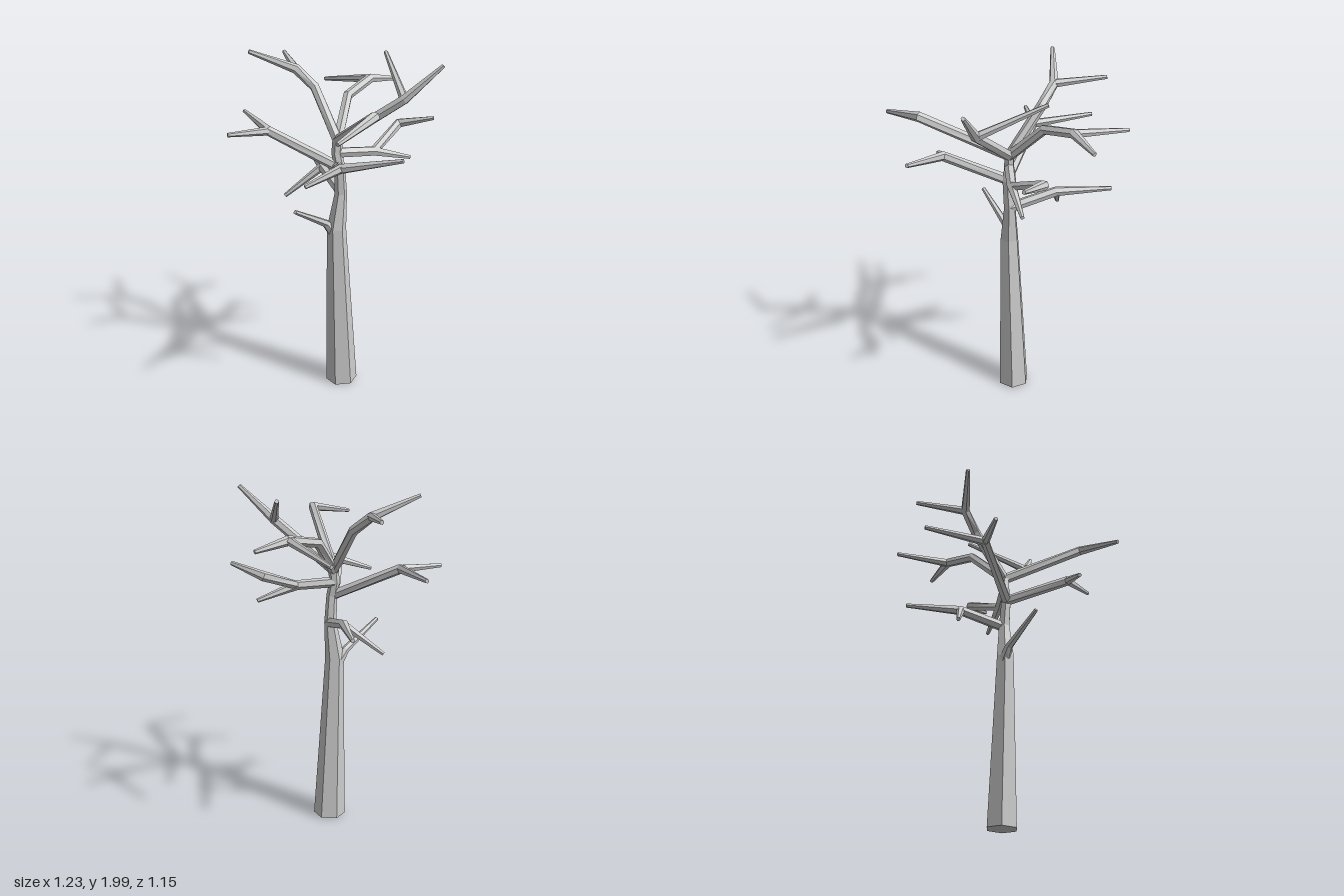
import * as THREE from 'three';

const material = new THREE.MeshStandardMaterial({ color: 0xcccccc, flatShading: true });
const SIDES = 6;
const UP = new THREE.Vector3(0, 1, 0);
const FRONT = new THREE.Vector3(0, 0, 1);

// Faceted limb swept through points with a radius at each, capped at both ends
function limb(name, points, radii, ref) {
  const centres = points.map(p => new THREE.Vector3(...p));
  const last = points.length - 1;
  const direction = i => centres[i + 1].clone().sub(centres[i]).normalize();
  const rings = centres.map((centre, i) => {
    const t = direction(Math.min(i, last - 1));
    if (i > 0 && i < last) t.add(direction(i - 1)).normalize(); // mitred joint
    const u = t.clone().cross(ref).normalize();
    const v = u.clone().cross(t);
    return Array.from({ length: SIDES }, (_, k) => {
      const a = 0.23 + (k / SIDES) * Math.PI * 2;
      return centre.clone()
        .addScaledVector(u, radii[i] * Math.cos(a))
        .addScaledVector(v, radii[i] * Math.sin(a));
    });
  });
  const corners = [];
  for (let k = 0; k < SIDES; k++) {
    const n = (k + 1) % SIDES;
    for (let i = 0; i < last; i++) {
      const a = rings[i][k], b = rings[i][n], c = rings[i + 1][n], d = rings[i + 1][k];
      corners.push(a, c, b, a, d, c);
    }
    corners.push(centres[0], rings[0][k], rings[0][n]);
    corners.push(centres[last], rings[last][n], rings[last][k]);
  }
  const geometry = new THREE.BufferGeometry().setFromPoints(corners);
  geometry.computeVertexNormals();
  const mesh = new THREE.Mesh(geometry, material);
  mesh.name = name;
  return mesh;
}

// Limb that keeps its thickness up to the last joint, then narrows to the tip
function taperedLimb(name, points, root) {
  const last = points.length - 1;
  const radii = points.map((_, i) => (i === last ? 0.012 : i === 0 ? root : 0.028));
  return limb(name, points, radii, UP);
}

// Branch along stem and tip, with an optional side twig from the end of the stem
function branch(name, stem, tip, side) {
  const group = new THREE.Group();
  group.name = name;
  group.add(taperedLimb('branch', [...stem, tip], 0.03));
  if (side) group.add(taperedLimb('twig', [stem[stem.length - 1], ...side], 0.025));
  return group;
}

export function createModel() {
  const tree = new THREE.Group();
  tree.name = 'bareTree';

  // Six-sided trunk, leaning slightly as it narrows
  const trunkPath = [[0.05, 0, 0.01], [0.045, 1, 0.05], [0.058, 1.21, 0.028],
    [0.06, 1.37, 0.042], [0.045, 1.45, 0.048], [0.047, 1.535, 0.042]];
  tree.add(limb('trunk', trunkPath, [0.0925, 0.055, 0.035, 0.031, 0.03, 0.029], FRONT));

  // Low twig on the front of the trunk
  tree.add(limb('lowTwig', [[0.03, 0.97, 0.055], [0.016, 1.04, 0.11], [0.003, 1.18, 0.35]],
    [0.036, 0.023, 0.012], UP));

  // Lower and middle branches
  tree.add(
    branch('lowerBackBranch', [[0.06, 1.21, 0.025], [-0.18, 1.28, -0.09]],
      [-0.44, 1.29, -0.27], [[-0.33, 1.11, 0.07]]),
    branch('middleRightBranch', [[0.06, 1.37, 0.05], [-0.285, 1.555, 0.24]],
      [-0.61, 1.575, 0.1], [[-0.395, 1.56, 0.45]]),
    branch('middleLeftBranch', [[0.05, 1.37, 0.05], [0.3, 1.49, 0.32]],
      [0.61, 1.57, 0.2], [[0.21, 1.42, 0.5]]),
    branch('middleBackBranch', [[0.045, 1.45, 0.045], [0.165, 1.44, -0.13]],
      [0.26, 1.37, -0.34], [[0.15, 1.54, -0.38], [0.34, 1.59, -0.45]]),
  );

  // Crown branches spreading from the trunk top
  const crown = [0.046, 1.52, 0.042];
  tree.add(
    branch('crownRightBranch', [crown, [-0.15, 1.78, 0.005], [-0.26, 1.87, 0.035]],
      [-0.42, 1.98, 0.24], [[-0.5, 1.9, -0.13]]),
    branch('crownBackBranch', [crown, [-0.04, 1.72, -0.15], [-0.055, 1.77, -0.37]],
      [-0.02, 1.735, -0.57], [[-0.42, 1.7, -0.4]]),
    branch('crownLeftBackBranch', [crown, [0.38, 1.78, -0.11]],
      [0.54, 1.965, -0.23], [[0.085, 1.95, -0.33]]),
    branch('crownLeftFrontBranch', [crown, [0.475, 1.79, 0.27]], [0.485, 1.725, 0.57]),
  );
  return tree;
}
